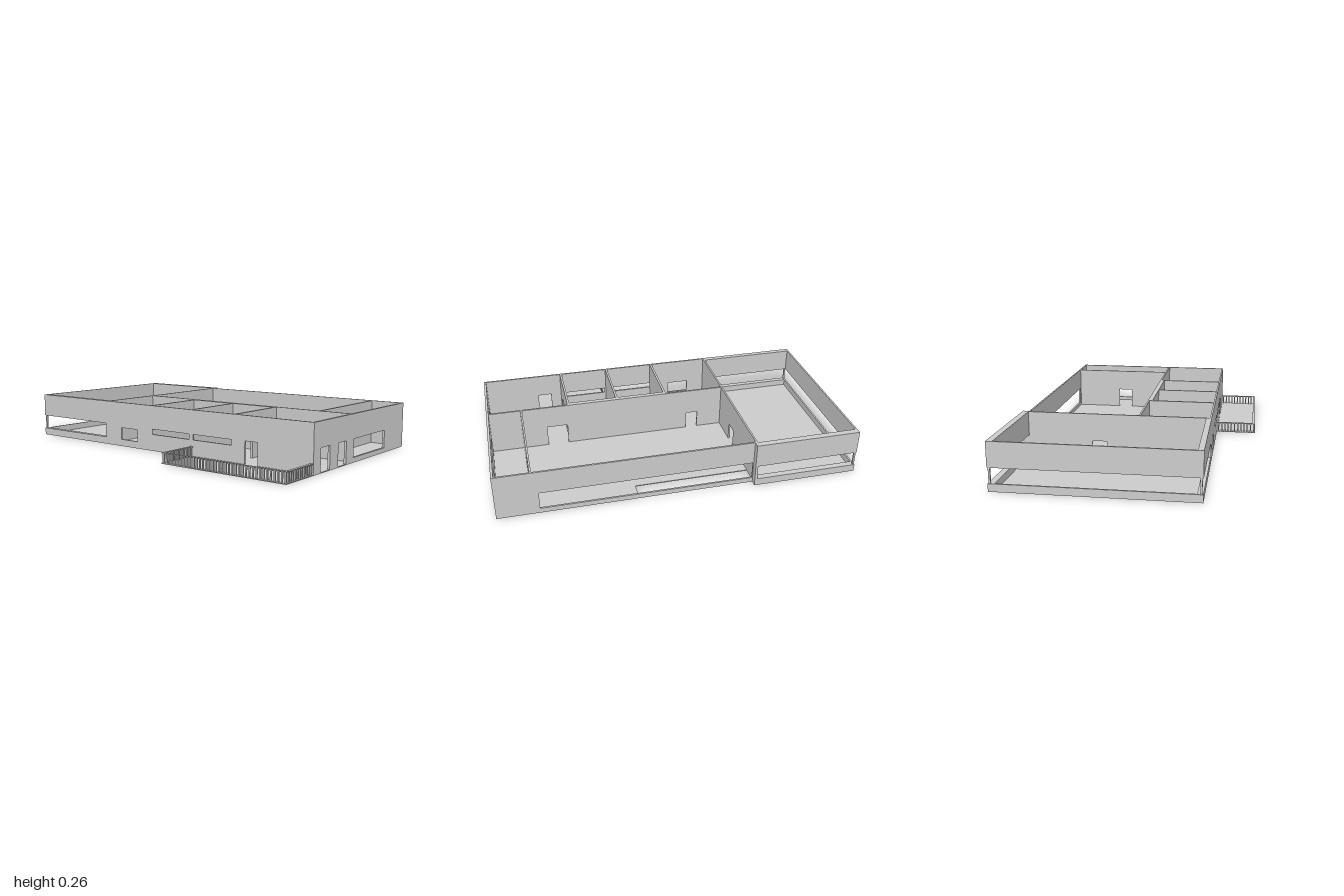
import * as THREE from 'three';

const H = 0.26; // wall height
const SLAB = 0.005;

export function createModel() {
  const model = new THREE.Group();
  const material = new THREE.MeshStandardMaterial({ color: 0xcccccc, flatShading: true });

  const add = (parent, name, geometry) => {
    const mesh = new THREE.Mesh(geometry, material);
    mesh.name = name;
    parent.add(mesh);
    return mesh;
  };
  const box = (parent, name, x0, x1, y0, y1, z0, z1) => {
    const g = new THREE.BoxGeometry(x1 - x0, y1 - y0, z1 - z0);
    g.translate((x0 + x1) / 2, (y0 + y1) / 2, (z0 + z1) / 2);
    return add(parent, name, g);
  };
  const rect = (Type, u0, u1, v0, v1) => new Type([
    new THREE.Vector2(u0, v0), new THREE.Vector2(u1, v0),
    new THREE.Vector2(u1, v1), new THREE.Vector2(u0, v1),
  ]);
  // Extruded wall panel; each opening is [u0, u1, y0, y1]
  const panel = (u0, u1, thick, openings) => {
    const shape = rect(THREE.Shape, u0, u1, 0, H);
    openings.forEach((o) => shape.holes.push(rect(THREE.Path, ...o)));
    return new THREE.ExtrudeGeometry(shape, { depth: thick, bevelEnabled: false });
  };
  const wallX = (name, x0, x1, z0, z1, openings = []) =>
    add(model, name, panel(x0, x1, z1 - z0, openings).translate(0, 0, z0));
  const wallZ = (name, x0, x1, z0, z1, openings = []) =>
    add(model, name, panel(z0, z1, x1 - x0, openings).rotateY(-Math.PI / 2).translate(x1, 0, 0));

  // Floor with a notch beside the right wall and a wider back terrace
  const outline = [[-0.41, 1], [0.61, 1], [0.61, 0.24], [0.51, 0.24], [0.51, -0.41],
    [0.65, -0.41], [0.65, -1], [-0.41, -1]];
  const floor = new THREE.Shape(outline.map(([x, z]) => new THREE.Vector2(x, -z)));
  add(model, 'floor', new THREE.ExtrudeGeometry(floor, { depth: SLAB, bevelEnabled: false })
    .rotateX(-Math.PI / 2));

  // Outer walls
  wallX('frontWall', -0.41, 0.615, 0.987, 1, [
    [-0.34, -0.25, SLAB, 0.127],
    [-0.165, -0.08, SLAB, 0.127],
    [0, 0.37, 0.027, 0.127],
  ]);
  wallZ('rightWall', 0.605, 0.615, -0.41, 0.99, [[-0.4, 0.77, 0.028, 0.127]]);
  wallZ('leftWall', -0.41, -0.4, -0.41, 0.99, [
    [-0.3, -0.17, 0.04, 0.11],
    [-0.05, 0.22, 0.095, 0.125],
    [0.25, 0.51, 0.095, 0.125],
    [0.595, 0.675, SLAB, 0.127],
  ]);
  wallX('backWall', -0.41, 0.615, -0.418, -0.408, [[0.17, 0.25, SLAB, 0.105]]);

  // Inner walls
  wallZ('corridorWall', -0.02, -0.01, -0.41, 0.99, [
    [-0.26, -0.19, SLAB, 0.107],
    [0.54, 0.66, SLAB, 0.127],
  ]);
  wallZ('roomLining', -0.037, -0.02, -0.05, 0.52);
  wallX('livingRoomWall', -0.01, 0.606, 0.797, 0.807, [[0.23, 0.32, SLAB, 0.127]]);
  wallX('frontRoomWall', -0.402, -0.018, 0.52, 0.532, [[-0.33, -0.25, SLAB, 0.127]]);
  wallX('middleRoomWall', -0.402, -0.018, 0.23, 0.242);
  wallX('backRoomWall', -0.402, -0.018, -0.063, -0.05);

  // Back terrace: low plinth and high parapet around a continuous opening
  const terrace = new THREE.Group();
  terrace.name = 'backTerrace';
  model.add(terrace);
  for (const [name, y0, y1] of [['plinth', 0, 0.042], ['parapet', 0.125, H]]) {
    box(terrace, name + 'Left', -0.41, -0.38, y0, y1, -1, -0.418);
    box(terrace, name + 'Right', 0.615, 0.65, y0, y1, -1, -0.41);
    box(terrace, name + 'Back', -0.38, 0.615, y0, y1, -1, -0.99);
  }
  box(terrace, 'terraceReturn', 0.615, 0.65, 0, H, -0.417, -0.403);
  box(terrace, 'leftReturn', -0.41, -0.38, 0.042, 0.125, -0.43, -0.418);
  for (const x of [-0.405, 0.635]) {
    box(terrace, 'cornerPost', x, x + 0.01, 0.042, 0.125, -0.998, -0.988);
  }

  // Side deck with a railing on its three open sides
  const deck = new THREE.Group();
  deck.name = 'sideDeck';
  model.add(deck);
  box(deck, 'deckFloor', -0.65, -0.41, 0, SLAB, 0.235, 1);
  const railing = (x0, z0, x1, z1, count) => {
    for (let i = 0; i <= count; i++) {
      const x = THREE.MathUtils.lerp(x0, x1, i / count);
      const z = THREE.MathUtils.lerp(z0, z1, i / count);
      box(deck, 'baluster', x - 0.004, x + 0.004, SLAB, 0.056, z - 0.004, z + 0.004);
    }
    box(deck, 'handrail', Math.min(x0, x1) - 0.008, Math.max(x0, x1) + 0.008,
      0.055, 0.06, Math.min(z0, z1) - 0.008, Math.max(z0, z1) + 0.008);
  };
  railing(-0.641, 0.244, -0.641, 0.991, 37);
  railing(-0.621, 0.244, -0.42, 0.244, 10);
  railing(-0.621, 0.991, -0.42, 0.991, 10);

  return model;
}
